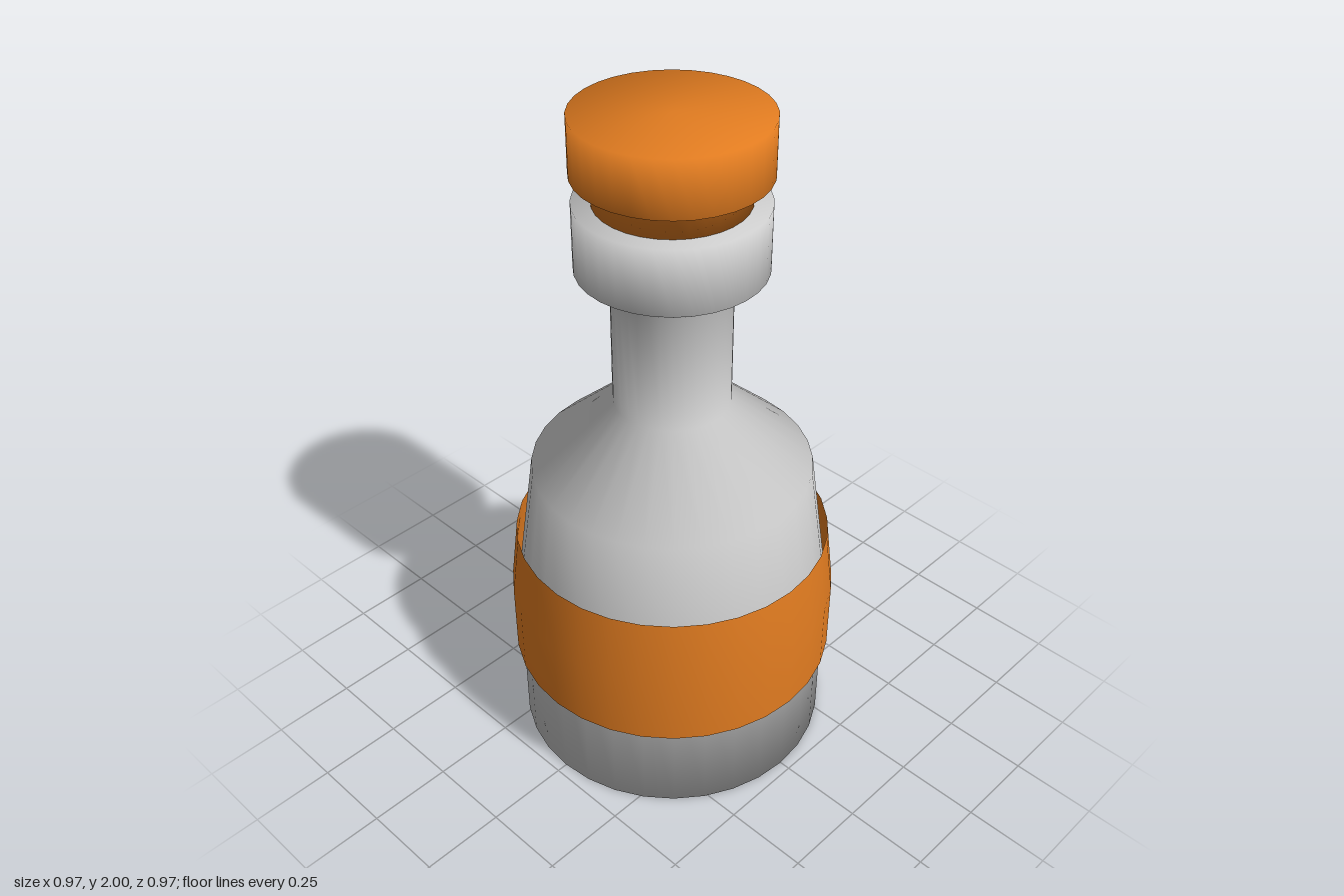
import * as THREE from 'three';

const SIDES = 32;
const grey = new THREE.MeshStandardMaterial({ color: 0xcccccc });
const orange = new THREE.MeshStandardMaterial({ color: 0xe07b20 });
const orangeSheet = new THREE.MeshStandardMaterial({ color: 0xe07b20, side: THREE.DoubleSide });

// Smooth turned part from a profile of [radius, height] pairs, bottom to top
function turned(name, profile, material) {
  const points = profile.map(([r, y]) => new THREE.Vector2(r, y));
  const mesh = new THREE.Mesh(new THREE.LatheGeometry(points, SIDES), material);
  mesh.name = name;
  return mesh;
}

export function createModel() {
  const bottle = new THREE.Group();
  bottle.name = 'bottle';

  // Glass body: base, tapering sides, shoulder, neck and thick lip
  bottle.add(turned('body', [
    [0, 0], [0.467, 0], [0.467, 0.5], [0.406, 0.935], [0.167, 1.15],
    [0.167, 1.51], [0.262, 1.57], [0.262, 1.76], [0, 1.76],
  ], grey));

  // Label: thin open sleeve following the sides
  bottle.add(turned('label', [
    [0.486, 0.285], [0.486, 0.505], [0.462, 0.705],
  ], orangeSheet));

  // Stopper: narrow plug under a wider cap
  bottle.add(turned('stopper', [
    [0, 1.75], [0.21, 1.75], [0.21, 1.815], [0.265, 1.84], [0.265, 2], [0, 2],
  ], orange));

  return bottle;
}
